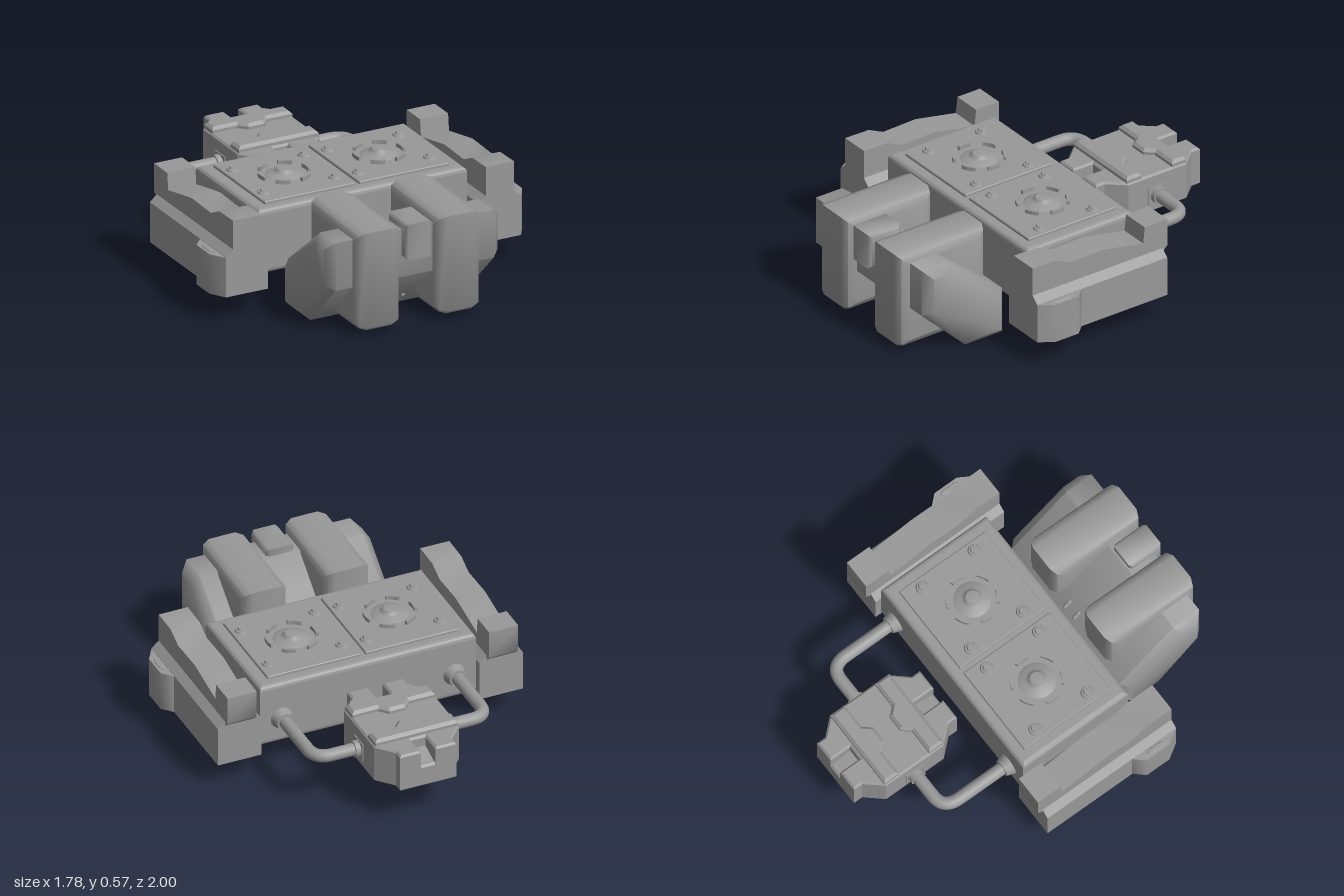
import * as THREE from 'three';
import { toCreasedNormals } from 'three/addons/utils/BufferGeometryUtils.js';

const faceted = new THREE.MeshStandardMaterial({ color: 0x999999, flatShading: true });
const smooth = new THREE.MeshStandardMaterial({ color: 0x999999 });

// Extrude an outline, centred on its depth, with bevels kept inside the outline.
// axis 'z': points are (x, y); axis 'x': points are (z, y); axis 'y': points are (x, z).
function slab(points, depth, axis = 'z', bevel = 0, segments = 1) {
  const shape = new THREE.Shape(points.map(([a, b]) => new THREE.Vector2(a, b)));
  const geo = new THREE.ExtrudeGeometry(shape, {
    depth: depth - 2 * bevel, bevelEnabled: bevel > 0, bevelThickness: bevel,
    bevelSize: bevel, bevelOffset: -bevel, bevelSegments: segments,
  });
  geo.translate(0, 0, bevel - depth / 2);
  if (axis === 'x') geo.rotateY(-Math.PI / 2);
  if (axis === 'y') geo.rotateX(Math.PI / 2);
  return geo;
}

// Blend the shading over shallow edges, keep right angles sharp
const soften = (geo) => toCreasedNormals(geo, 0.9);

const rect = (a0, a1, b0, b1) => [[a0, b0], [a1, b0], [a1, b1], [a0, b1]];

function add(parent, name, geo, x = 0, y = 0, z = 0, material = faceted) {
  const mesh = new THREE.Mesh(geo, material);
  mesh.name = name;
  mesh.position.set(x, y, z);
  parent.add(mesh);
  return mesh;
}

// Square cover plate with bolts, a domed hub and a broken ring, facing +y
function coverPlate() {
  const plate = new THREE.Group();
  plate.name = 'coverPlate';
  add(plate, 'plate', slab(rect(-0.255, 0.255, -0.27, 0.27), 0.03, 'y', 0.004), 0, 0.175);
  for (const x of [-0.203, 0.203]) for (const z of [-0.163, 0.163]) {
    add(plate, 'boltBase', new THREE.CylinderGeometry(0.03, 0.036, 0.012, 12), x, 0.194, z, smooth);
    add(plate, 'boltHead', new THREE.CylinderGeometry(0.018, 0.024, 0.012, 6), x, 0.204, z);
  }
  const profile = [[0.1, 0.188], [0.085, 0.197], [0.06, 0.203], [0.043, 0.21], [0.04, 0.221], [0.034, 0.225], [0, 0.225]];
  const lathe = new THREE.LatheGeometry(profile.map(([r, y]) => new THREE.Vector2(r, y)), 24);
  add(plate, 'hub', lathe, 0, 0, 0, smooth);
  for (let i = 0; i < 6; i++) {
    const mid = i * Math.PI / 3;
    const arc = new THREE.Shape();
    arc.absarc(0, 0, 0.137, mid - 0.28, mid + 0.28, false);
    arc.absarc(0, 0, 0.122, mid + 0.28, mid - 0.28, true);
    const geo = new THREE.ExtrudeGeometry(arc, { depth: 0.024, bevelEnabled: false, curveSegments: 6 });
    geo.rotateX(-Math.PI / 2);
    add(plate, 'ringSegment', geo, 0, 0.187);
  }
  return plate;
}

// Side arm; s is +1 or -1
function sideArm(s) {
  const arm = new THREE.Group();
  arm.name = s > 0 ? 'leftArm' : 'rightArm';
  arm.position.x = 0.72 * s;
  const section = [[-0.12, 0.14], [0.12, 0.14], [0.12, 0.357], [0.08, 0.393], [-0.08, 0.393], [-0.12, 0.357]];
  add(arm, 'armBase', slab(section, 0.805), 0, 0, 0.1025);
  const top = [[0.505, 0.36], [0.505, 0.55], [0.36, 0.547], [0.27, 0.505], [0.07, 0.51],
    [-0.18, 0.46], [-0.19, 0.55], [-0.33, 0.55], [-0.33, 0.4], [-0.3, 0.37]];
  add(arm, 'armTop', soften(slab(top, 0.16, 'x')), 0, 0, 0, smooth);
  // Outer lug with a hexagonal slot cap
  const lug = [[0.11, 0.23], [0.12, 0.23], [0.17, 0.285], [0.17, 0.425], [0.12, 0.505], [0.11, 0.505]];
  add(arm, 'lug', soften(slab(lug.map(([x, z]) => [x * s, z]), 0.215, 'y')), 0, 0.2475, 0, smooth);
  const cap = [[0.128, 0.325], [0.143, 0.3], [0.157, 0.325], [0.157, 0.395], [0.143, 0.42], [0.128, 0.395]];
  add(arm, 'lugCap', slab(cap.map(([x, z]) => [x * s, z]), 0.02, 'y', 0.004), 0, 0.35);
  return arm;
}

function frontUnit() {
  const unit = new THREE.Group();
  unit.name = 'frontUnit';
  const side = [[0.44, 0], [0.67, 0], [0.94, 0.26], [0.94, 0.52], [0.78, 0.52], [0.44, 0.25]];
  add(unit, 'frontChassis', soften(slab(side, 0.99, 'x', 0.045)), 0, 0, 0, smooth);
  for (const s of [-1, 1]) {
    const pod = [[0.46, 0.03], [0.98, 0.03], [1, 0.05], [1, 0.565], [0.46, 0.565]];
    add(unit, 'pod', soften(slab(pod, 0.255, 'x', 0.055, 2)), 0.2275 * s, 0, 0, smooth);
    // Small pegs on the rear slope and under the nose
    const peg = new THREE.CapsuleGeometry(0.012, 0.035, 3, 8);
    add(unit, 'upperPeg', peg, 0.038 * s, 0.285, 0.48, smooth).rotation.x = 0.88;
    add(unit, 'lowerPeg', peg, 0.038 * s, 0.056, 0.728, smooth).rotation.x = 0.8;
  }
  const block = soften(slab(rect(0.79, 0.99, 0.365, 0.56), 0.15, 'x', 0.015));
  add(unit, 'centreBlock', block, 0, 0, 0, smooth);
  return unit;
}

function rearUnit() {
  const unit = new THREE.Group();
  unit.name = 'rearUnit';
  unit.position.z = -0.678;
  const half = [[0.155, -0.322], [0.155, -0.27], [0.235, -0.18], [0.235, 0.18], [0.155, 0.27], [0.155, 0.322]];
  const mirrored = half.map(([x, z]) => [-x, z]).reverse();
  add(unit, 'rearBase', slab([...half, ...mirrored], 0.125, 'y', 0.012), 0, 0.2775);
  // Upper shell has an open channel at each end
  const channel = (e) => [[0.04 * -e, 0.322 * e], [0.04 * -e, 0.2 * e], [0.04 * e, 0.2 * e], [0.04 * e, 0.322 * e]];
  const upper = [...half, ...channel(1).reverse(), ...mirrored, ...channel(-1).reverse()];
  add(unit, 'rearShell', slab(upper, 0.13, 'y', 0.01), 0, 0.365);
  for (const e of [-1, 1]) {
    // Raised ridge with a tab reaching into the middle valley
    const ridge = [[-0.228, 0.185], [-0.228, 0.095], [-0.085, 0.095], [-0.045, 0.05], [0.045, 0.05], [0.085, 0.095], [0.228, 0.095], [0.228, 0.185]];
    add(unit, 'ridge', slab(ridge.map(([x, z]) => [x, z * e]), 0.05, 'y', 0.015), 0, 0.435);
    const ramp = [[0.2 * e, 0.32], [0.2 * e, 0.37], [0.31 * e, 0.335], [0.31 * e, 0.32]];
    add(unit, 'channelRamp', slab(ramp, 0.08, 'x'));
    add(unit, 'sidePad', new THREE.BoxGeometry(0.02, 0.1, 0.11), 0.23 * e, 0.31, 0);
  }
  return unit;
}

// Bent pipe joining the body to the rear unit, with a collar at each end
function pipe(s) {
  const group = new THREE.Group();
  group.name = s > 0 ? 'leftPipe' : 'rightPipe';
  const v = (x, z) => new THREE.Vector3(x * s, 0.31, z);
  const path = new THREE.CurvePath();
  path.add(new THREE.LineCurve3(v(0.475, -0.25), v(0.475, -0.58)));
  path.add(new THREE.QuadraticBezierCurve3(v(0.475, -0.58), v(0.475, -0.678), v(0.385, -0.678)));
  path.add(new THREE.LineCurve3(v(0.385, -0.678), v(0.22, -0.678)));
  add(group, 'tube', new THREE.TubeGeometry(path, 36, 0.034, 14), 0, 0, 0, smooth);
  const bodyCollar = new THREE.CylinderGeometry(0.045, 0.062, 0.05, 16);
  add(group, 'bodyCollar', bodyCollar, 0.475 * s, 0.31, -0.29, smooth).rotation.x = -Math.PI / 2;
  const headCollar = new THREE.CylinderGeometry(0.044, 0.044, 0.035, 16);
  add(group, 'headCollar', headCollar, 0.25 * s, 0.31, -0.678, smooth).rotation.z = Math.PI / 2;
  return group;
}

export function createModel() {
  const model = new THREE.Group();
  model.name = 'model';
  // Main body with cover plates above and below
  add(model, 'body', slab(rect(-0.595, 0.595, -0.27, 0.39), 0.35, 'y', 0.026, 3), 0, 0.342);
  for (const s of [-1, 1]) {
    for (const turn of [0, Math.PI]) {
      const plate = coverPlate();
      plate.position.set(0.27 * s, 0.342, 0.06);
      plate.rotation.x = turn;
      model.add(plate);
    }
    model.add(sideArm(s), pipe(s));
  }
  model.add(frontUnit(), rearUnit());
  return model;
}
